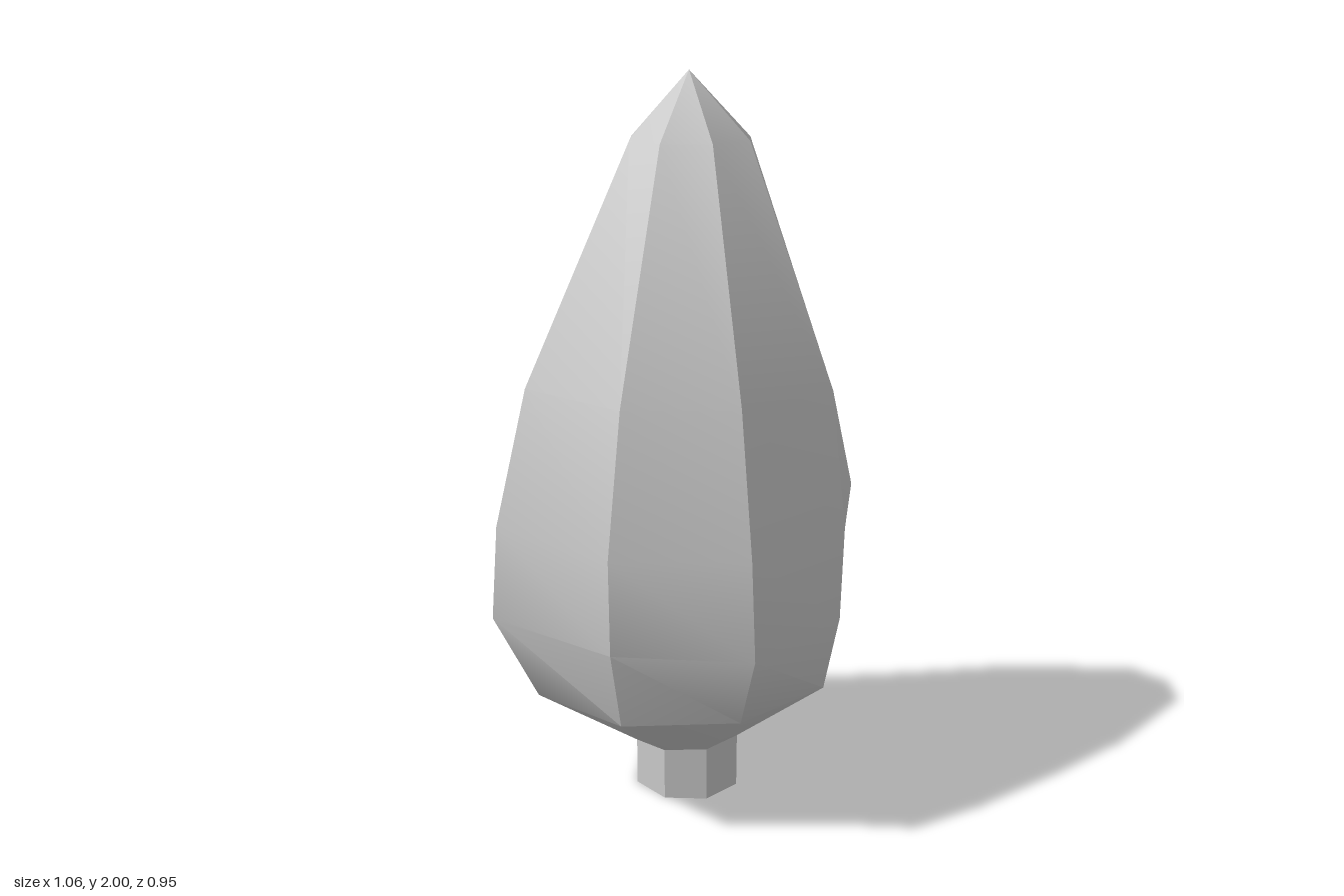
import * as THREE from 'three';
import { toCreasedNormals } from 'three/addons/utils/BufferGeometryUtils.js';

const SIDES = 8;
const CENTRE = { x: 0.03, z: -0.01 };

// Radii of each of the eight ribs, from the neck up to the shoulder;
// ribs run from +x through +z, -x and -z.
const HEIGHTS = [0.155, 0.36, 0.58, 0.84, 1.21, 1.83];
const RIBS = [
  [0.155, 0.40, 0.46, 0.50, 0.40, 0.17],
  [0.155, 0.41, 0.45, 0.455, 0.41, 0.17],
  [0.155, 0.40, 0.49, 0.46, 0.38, 0.17],
  [0.155, 0.415, 0.47, 0.475, 0.40, 0.17],
  [0.155, 0.44, 0.56, 0.54, 0.45, 0.16],
  [0.155, 0.42, 0.485, 0.475, 0.41, 0.165],
  [0.155, 0.43, 0.46, 0.40, 0.325, 0.16],
  [0.155, 0.44, 0.495, 0.46, 0.39, 0.165],
];
// Slight unevenness of the lower rim, per rib
const RIM_SHIFT = [0.01, 0.005, 0.005, -0.005, -0.03, -0.02, -0.015, -0.02];

// Joins rings of points, bottom to top, into an outward-facing skin
function loft(rings) {
  const positions = [];
  for (let r = 0; r < rings.length - 1; r++) {
    for (let i = 0; i < SIDES; i++) {
      const j = (i + 1) % SIDES;
      const a = rings[r][i], b = rings[r][j];
      const c = rings[r + 1][j], d = rings[r + 1][i];
      for (const p of [a, d, c, a, c, b]) positions.push(p.x, p.y, p.z);
    }
  }
  const geometry = new THREE.BufferGeometry();
  geometry.setAttribute('position', new THREE.Float32BufferAttribute(positions, 3));
  return toCreasedNormals(geometry, Math.PI / 6);
}

function ring(radiusAt, heightAt) {
  return Array.from({ length: SIDES }, (_, i) => {
    const angle = (i / SIDES) * Math.PI * 2;
    const r = radiusAt(i);
    return new THREE.Vector3(Math.cos(angle) * r, heightAt(i), Math.sin(angle) * r);
  });
}

export function createModel() {
  const group = new THREE.Group();
  group.name = 'tree';
  const material = new THREE.MeshStandardMaterial({ color: 0xcccccc });

  // Crown: faceted teardrop closing to a point
  const rings = HEIGHTS.map((y, k) =>
    ring((i) => RIBS[i][k], (i) => y + (k === 1 ? RIM_SHIFT[i] : k === 0 ? RIM_SHIFT[i] * 0.6 : 0)));
  rings.push(ring(() => 0, () => 2));
  const crown = new THREE.Mesh(loft(rings), material);
  crown.name = 'crown';

  // Trunk: short octagonal tube with an open recess underneath
  const trunkProfile = [[0, 0.15], [0.09, 0.15], [0.09, 0], [0.155, 0], [0.155, 0.16]];
  const trunk = new THREE.Mesh(loft(trunkProfile.map(([r, y]) =>
    ring(() => r, (i) => (y === 0.16 ? 0.155 + RIM_SHIFT[i] * 0.6 : y)))), material);
  trunk.name = 'trunk';

  for (const part of [crown, trunk]) {
    part.position.set(CENTRE.x, 0, CENTRE.z);
    group.add(part);
  }
  return group;
}
